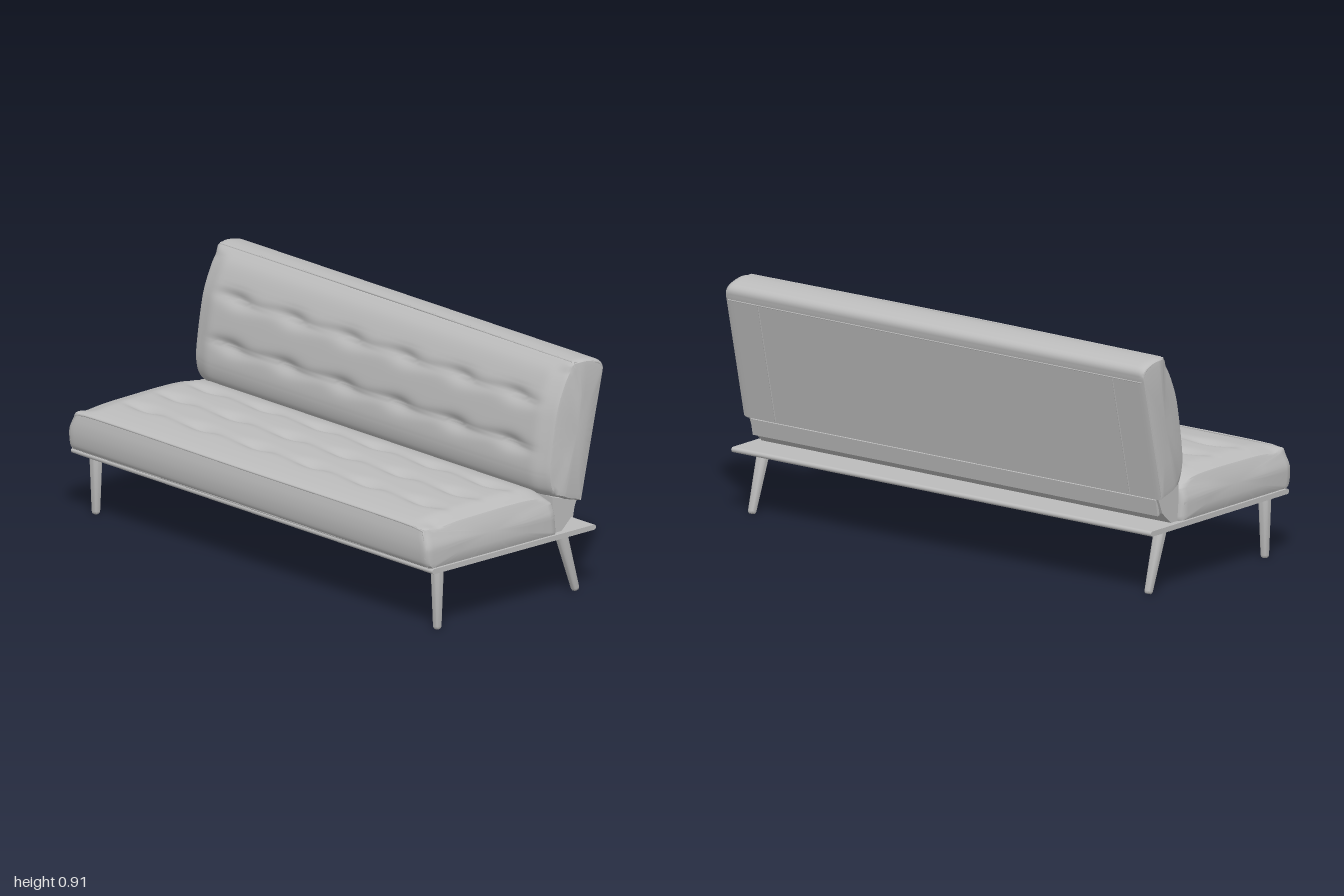
import * as THREE from 'three';
import { toCreasedNormals } from 'three/addons/utils/BufferGeometryUtils.js';

const step = (v, a, b) => THREE.MathUtils.smoothstep(v, a, b);
const bell = (d, s) => Math.exp(-(d * d) / (2 * s * s));
const TUFTS = [-0.78, -0.47, -0.155, 0.155, 0.47, 0.78];

// Fabric dimple: shallow groove along each row, deeper at every button
function dimple(x, t, rows) {
  let depth = 0;
  for (const r of rows) {
    const wave = 0.006 * Math.sin(x * 20);
    depth += 0.007 * bell(t - r - wave, 0.014) * (1 - step(Math.abs(x), 0.85, 0.95));
    for (const c of TUFTS) depth += 0.013 * bell(t - r, 0.022) * bell(x - c, 0.05);
  }
  return depth;
}

// Closed (z, y) outline swept along x, closed at both ends, then softened by a rule
function cushionGeometry(outline, deform) {
  const ring = outline.getSpacedPoints(150).slice(0, -1);
  const n = ring.length;
  const mid = ring.reduce((s, p) => s.add(p), new THREE.Vector2()).divideScalar(n);
  const ends = [[0.994, 0], [0.994, 0.5], [0.993, 0.9], [0.99, 0.97], [0.983, 0.99], [0.97, 1]];
  const stations = ends.map(([x, s]) => [-x, s]);
  for (let i = 1; i < 110; i++) stations.push([-0.97 + (1.94 * i) / 110, 1]);
  stations.push(...ends.slice().reverse());
  const pos = [], index = [], v = new THREE.Vector3();
  stations.forEach(([x, s], i) => {
    ring.forEach((p, j) => {
      v.set(x, mid.y + (p.y - mid.y) * s, mid.x + (p.x - mid.x) * s);
      deform(v);
      pos.push(v.x, v.y, v.z);
      if (i === stations.length - 1) return;
      const a = i * n + j, c = i * n + ((j + 1) % n);
      index.push(a, a + n, c + n, a, c + n, c);
    });
  });
  const g = new THREE.BufferGeometry();
  g.setAttribute('position', new THREE.Float32BufferAttribute(pos, 3));
  g.setIndex(index);
  return toCreasedNormals(g, 0.7);
}

const vec2 = (list) => list.map(([z, y]) => new THREE.Vector2(z, y));

export function createModel() {
  const model = new THREE.Group();
  const grey = new THREE.MeshStandardMaterial({ color: 0xbcbcbc });
  grey.name = 'soft grey';
  const add = (name, geometry, x = 0, y = 0, z = 0) => {
    const m = new THREE.Mesh(geometry, grey);
    m.name = name;
    m.position.set(x, y, z);
    model.add(m);
    return m;
  };
  const piping = (name, points, r = 0.004) => {
    const path = new THREE.CatmullRomCurve3(points.map((p) => new THREE.Vector3(...p)), false, 'centripetal');
    return add(name, new THREE.TubeGeometry(path, 40, r, 8));
  };

  // Base board with rounded long edges
  add('baseBoard', new THREE.BoxGeometry(1.99, 0.02, 0.8), 0, 0.25, 0.01);
  for (const z of [0.41, -0.39]) {
    add('boardEdge', new THREE.CylinderGeometry(0.01, 0.01, 1.99, 16), 0, 0.25, z).rotation.z = Math.PI / 2;
  }

  // Tapered legs: upright in front, splayed behind
  const legGeo = (len) => new THREE.LatheGeometry(vec2([
    [0, -len], [0.009, -len], [0.014, -len + 0.004], [0.016, -len + 0.012], [0.024, -0.02], [0.024, 0.002], [0, 0.002],
  ]), 24);
  for (const x of [-0.94, 0.94]) {
    add('frontLeg', toCreasedNormals(legGeo(0.24), 0.7), x, 0.241, 0.345);
    add('rearLeg', toCreasedNormals(legGeo(0.249), 0.7), x, 0.241, -0.273).rotation.x = 0.305;
  }

  // Seat cushion
  const seat = new THREE.Shape();
  seat.moveTo(0.42, 0.26);
  seat.splineThru(vec2([[0.436, 0.275], [0.443, 0.32], [0.441, 0.365], [0.432, 0.409]]));
  seat.splineThru(vec2([[0.38, 0.423], [0.28, 0.433], [0.16, 0.436], [0, 0.438], [-0.11, 0.434], [-0.17, 0.42], [-0.2, 0.398]]));
  seat.lineTo(-0.212, 0.26);
  seat.lineTo(0.42, 0.26);
  add('seatCushion', cushionGeometry(seat, (v) => {
    const w = step(v.y, 0.37, 0.41), ax = Math.abs(v.x);
    v.y -= w * (dimple(v.x, v.z, [-0.07, 0.085, 0.25]) + 0.02 * step(ax, 0.9, 0.99) * (1 - step(v.z, 0.36, 0.43)));
    v.x *= 1 - 0.024 * step(v.y, 0.33, 0.415);
  }));
  piping('seatTopPiping', [[-0.975, 0.3, 0.437], [-0.972, 0.37, 0.435], [-0.955, 0.403, 0.431], [-0.92, 0.408, 0.432],
    [0, 0.409, 0.432], [0.92, 0.408, 0.432], [0.955, 0.403, 0.431], [0.972, 0.37, 0.435], [0.975, 0.3, 0.437]]);
  piping('seatBottomPiping', [[-0.98, 0.266, 0.425], [0, 0.266, 0.428], [0.98, 0.266, 0.425]]);

  // Backrest cushion, leaning back
  const back = new THREE.Shape();
  back.moveTo(-0.2, 0.4);
  back.splineThru(vec2([[-0.176, 0.43], [-0.166, 0.49], [-0.174, 0.57], [-0.188, 0.66], [-0.205, 0.74],
    [-0.232, 0.81], [-0.262, 0.865], [-0.305, 0.908]]));
  back.splineThru(vec2([[-0.35, 0.911], [-0.4, 0.903], [-0.432, 0.888], [-0.443, 0.868], [-0.437, 0.835]]));
  back.lineTo(-0.33, 0.363);
  back.lineTo(-0.2, 0.4);
  add('backCushion', cushionGeometry(back, (v) => {
    const depth = v.z + 0.33 + (v.y - 0.365) * 0.22;
    const w = step(depth, 0.06, 0.12) * (1 - step(v.y, 0.86, 0.9));
    v.z -= w * (dimple(v.x, v.y, [0.575, 0.75]) + 0.018 * step(Math.abs(v.x), 0.9, 0.99));
    v.x *= 1 - 0.015 * step(depth, 0.1, 0.17);
  }));
  piping('backTopPiping', [[-0.97, 0.905, -0.306], [0, 0.909, -0.306], [0.97, 0.905, -0.306]]);
  for (const s of [-1, 1]) {
    piping('backSidePiping', [[s * 0.975, 0.905, -0.306], [s * 0.985, 0.897, -0.36], [s * 0.988, 0.886, -0.415],
      [s * 0.988, 0.866, -0.432], [s * 0.988, 0.83, -0.428], [s * 0.988, 0.6, -0.377], [s * 0.988, 0.37, -0.326]]);
    // Seam between the rear panel and its side border
    piping('rearSeam', [[s * 0.84, 0.37, -0.331], [s * 0.84, 0.6, -0.383], [s * 0.84, 0.83, -0.435]], 0.0025);
  }
  piping('rearTopSeam', [[-0.98, 0.835, -0.437], [0, 0.835, -0.437], [0.98, 0.835, -0.437]], 0.0025);

  // Wedge that joins the backrest to the board
  const wedge = new THREE.Shape(vec2([[-0.205, 0.26], [-0.205, 0.4], [-0.325, 0.364], [-0.3, 0.305], [-0.25, 0.26]]));
  const wedgeGeo = new THREE.ExtrudeGeometry(wedge, { depth: 1.94, bevelEnabled: false });
  wedgeGeo.translate(0, 0, -0.97).rotateY(-Math.PI / 2);
  add('hingeWedge', wedgeGeo);

  // Fabric lip below the rear panel
  add('rearLip', new THREE.BoxGeometry(1.92, 0.065, 0.012), 0, 0.33, -0.317).rotation.x = -0.2;
  return model;
}
